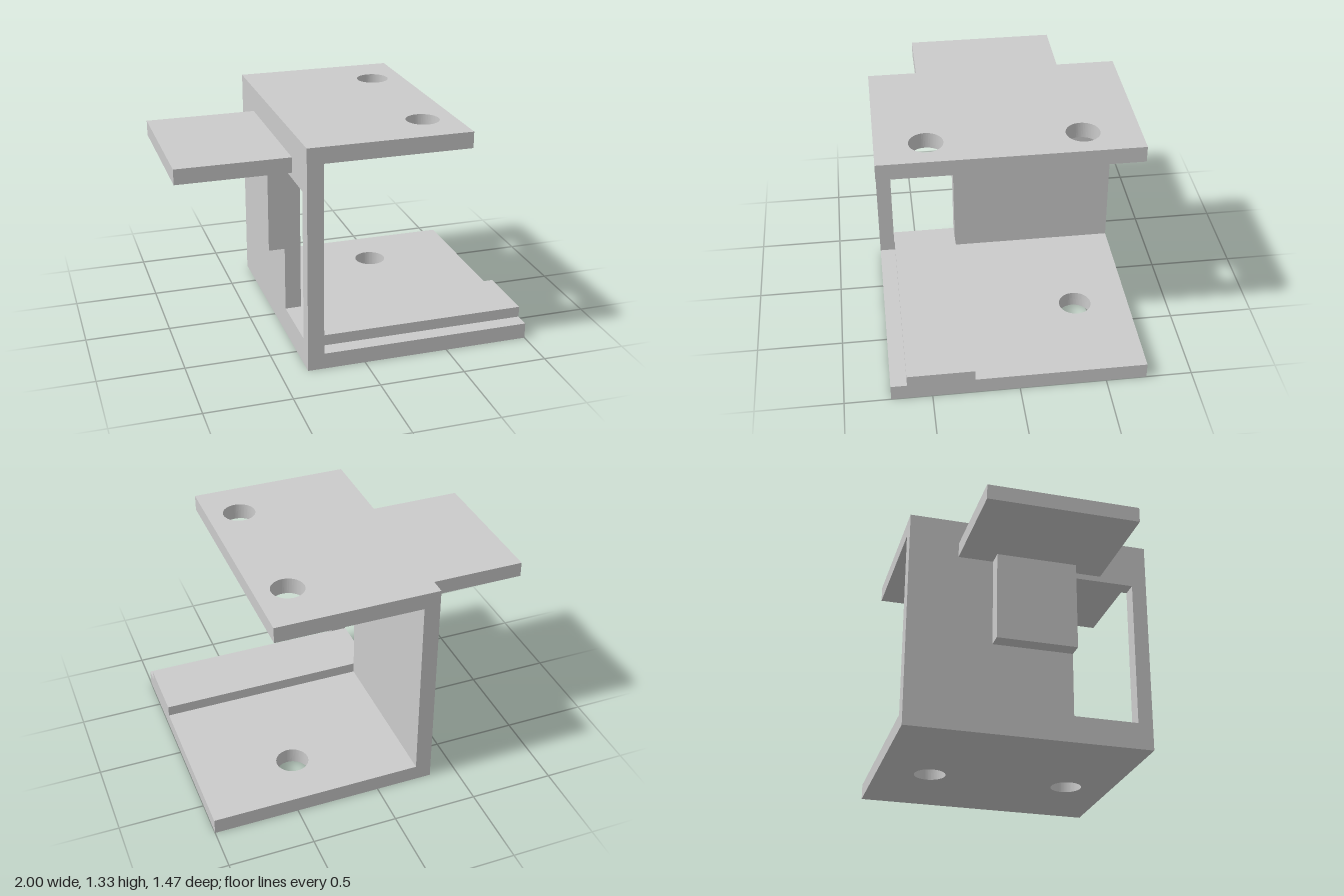
import * as THREE from 'three';

const T = 0.095;             // sheet thickness
const H = 1.33;              // overall height
const D = 0.735;             // half depth
const WALL = -0.34;          // outer face of the upright wall

const material = new THREE.MeshStandardMaterial({ color: 0xcccccc });

function rectPath(path, x0, y0, x1, y1) {
  path.moveTo(x0, y0);
  path.lineTo(x1, y0);
  path.lineTo(x1, y1);
  path.lineTo(x0, y1);
  path.closePath();
  return path;
}

function addMesh(group, name, geometry) {
  const mesh = new THREE.Mesh(geometry, material);
  mesh.name = name;
  group.add(mesh);
}

// Box given by its lower and upper limits on each axis
function addBox(group, name, [x0, x1], [y0, y1], [z0, z1]) {
  const geometry = new THREE.BoxGeometry(x1 - x0, y1 - y0, z1 - z0);
  geometry.translate((x0 + x1) / 2, (y0 + y1) / 2, (z0 + z1) / 2);
  addMesh(group, name, geometry);
}

// Horizontal plate with two round screw holes
function addPlate(group, name, xEnd, y) {
  const shape = rectPath(new THREE.Shape(), WALL, -D, xEnd, D);
  for (const z of [-0.415, 0.45]) {
    shape.holes.push(new THREE.Path().absarc(0.42, -z, 0.096, 0, Math.PI * 2, true));
  }
  const geometry = new THREE.ExtrudeGeometry(shape, { depth: T, bevelEnabled: false, curveSegments: 32 });
  geometry.rotateX(-Math.PI / 2);
  geometry.translate(0, y, 0);
  addMesh(group, name, geometry);
}

export function createModel() {
  const group = new THREE.Group();
  group.name = 'clampBracket';

  // Lower and upper arms of the C-shaped bracket
  addPlate(group, 'basePlate', 1, 0);
  addPlate(group, 'topPlate', 0.61, H - T);

  // Upright wall with a tall window near the front
  const wall = rectPath(new THREE.Shape(), -D, T, D, H - T);
  wall.holes.push(rectPath(new THREE.Path(), 0.255, 0.16, 0.645, 1.055));
  const wallGeometry = new THREE.ExtrudeGeometry(wall, { depth: T, bevelEnabled: false });
  wallGeometry.rotateY(-Math.PI / 2);
  wallGeometry.translate(WALL + T, 0, 0);
  addMesh(group, 'wall', wallGeometry);

  // Raised pad covering the front hole of the base
  addBox(group, 'basePad', [WALL + T, 1], [T, 0.16], [0.255, 0.642]);

  // Side shelf and the block that supports it
  addBox(group, 'sideShelf', [-1, WALL], [1.09, 1.18], [-0.44, 0.44]);
  addBox(group, 'shelfSupport', [-0.435, WALL], [0.55, 1.09], [-0.23, 0.255]);

  return group;
}
